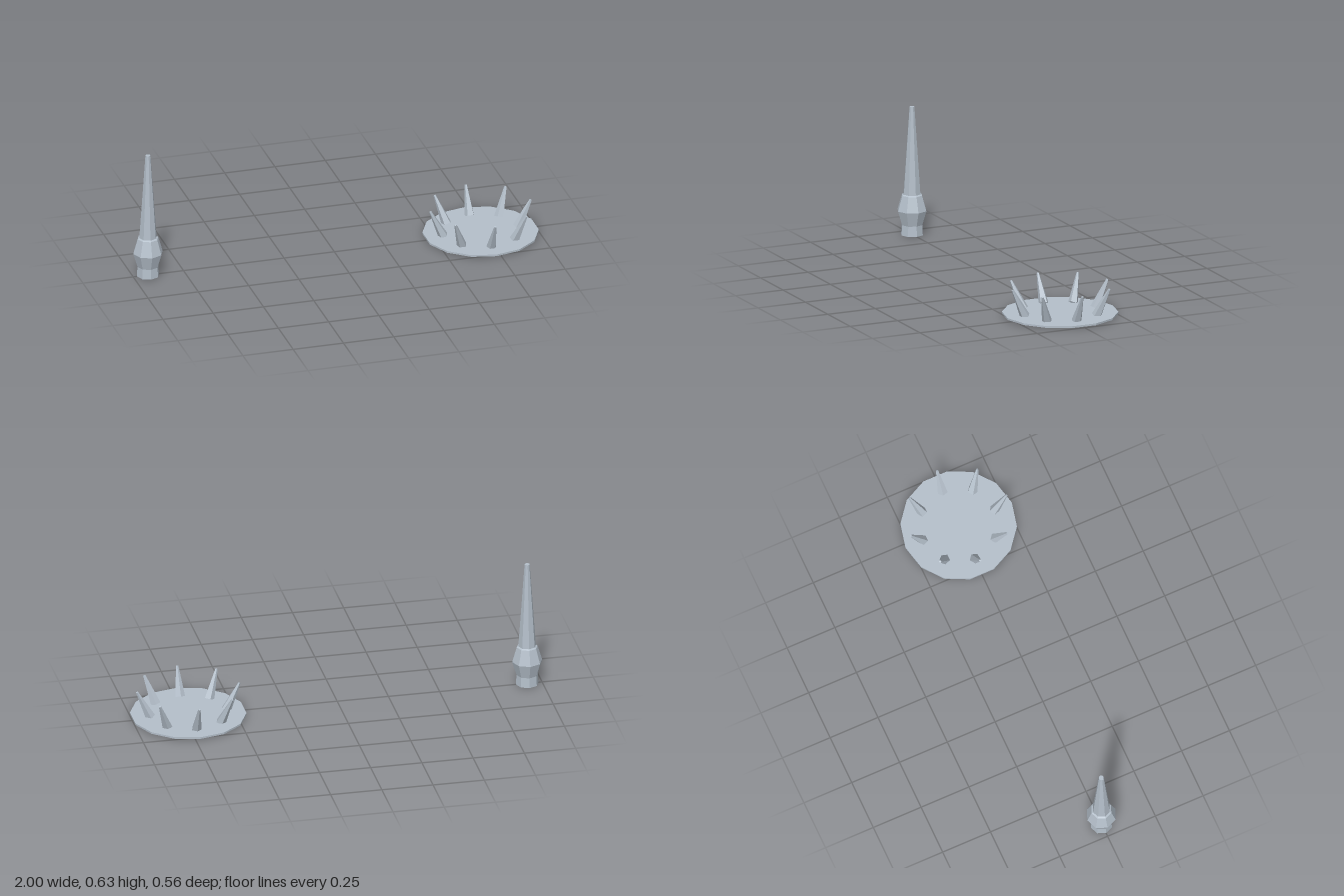
import * as THREE from 'three';

const steel = new THREE.MeshStandardMaterial({ color: 0xb4bfca });
steel.name = 'steel';

// Faceted mesh: every face keeps its own flat normal
function facetedMesh(name, geometry) {
  const flat = geometry.toNonIndexed();
  flat.computeVertexNormals();
  const mesh = new THREE.Mesh(flat, steel);
  mesh.name = name;
  return mesh;
}

export function createModel() {
  const model = new THREE.Group();
  model.name = 'spikeSet';

  // Tall eight-sided spike with a bulging foot, closed at both ends
  const profile = [
    [0, 0], [0.055, 0], [0.052, 0.05], [0.073, 0.12], [0.051, 0.195],
    [0.043, 0.2], [0.0125, 0.63], [0, 0.63],
  ].map(([r, y]) => new THREE.Vector2(r, y));
  const spike = facetedMesh('tallSpike', new THREE.LatheGeometry(profile, 8));
  spike.position.x = -0.927;
  model.add(spike);

  // Thin fourteen-sided plate carrying a ring of prongs
  const crown = new THREE.Group();
  crown.name = 'prongPlate';
  crown.position.x = 0.727;
  model.add(crown);

  const plate = facetedMesh('plate', new THREE.CylinderGeometry(0.278, 0.278, 0.009, 14));
  plate.position.y = 0.0095;
  crown.add(plate);

  // Five-sided prongs leaning outwards, not turned around their own axes
  const up = new THREE.Vector3(0, 1, 0);
  const tilt = 0.45;
  const prongGeometry = new THREE.CylinderGeometry(0.006, 0.025, 0.149, 5, 1, false, Math.PI);
  prongGeometry.translate(0, 0.0745, 0);
  for (let i = 0; i < 8; i++) {
    const a = (i * Math.PI) / 4;
    const c = Math.cos(a), s = Math.sin(a);
    const prong = facetedMesh('prong' + (i + 1), prongGeometry);
    prong.position.set(0.185 * c, 0.0125, 0.185 * s);
    const lean = new THREE.Vector3(Math.sin(tilt) * c, Math.cos(tilt), Math.sin(tilt) * s);
    prong.quaternion.setFromUnitVectors(up, lean);
    crown.add(prong);
  }

  return model;
}
